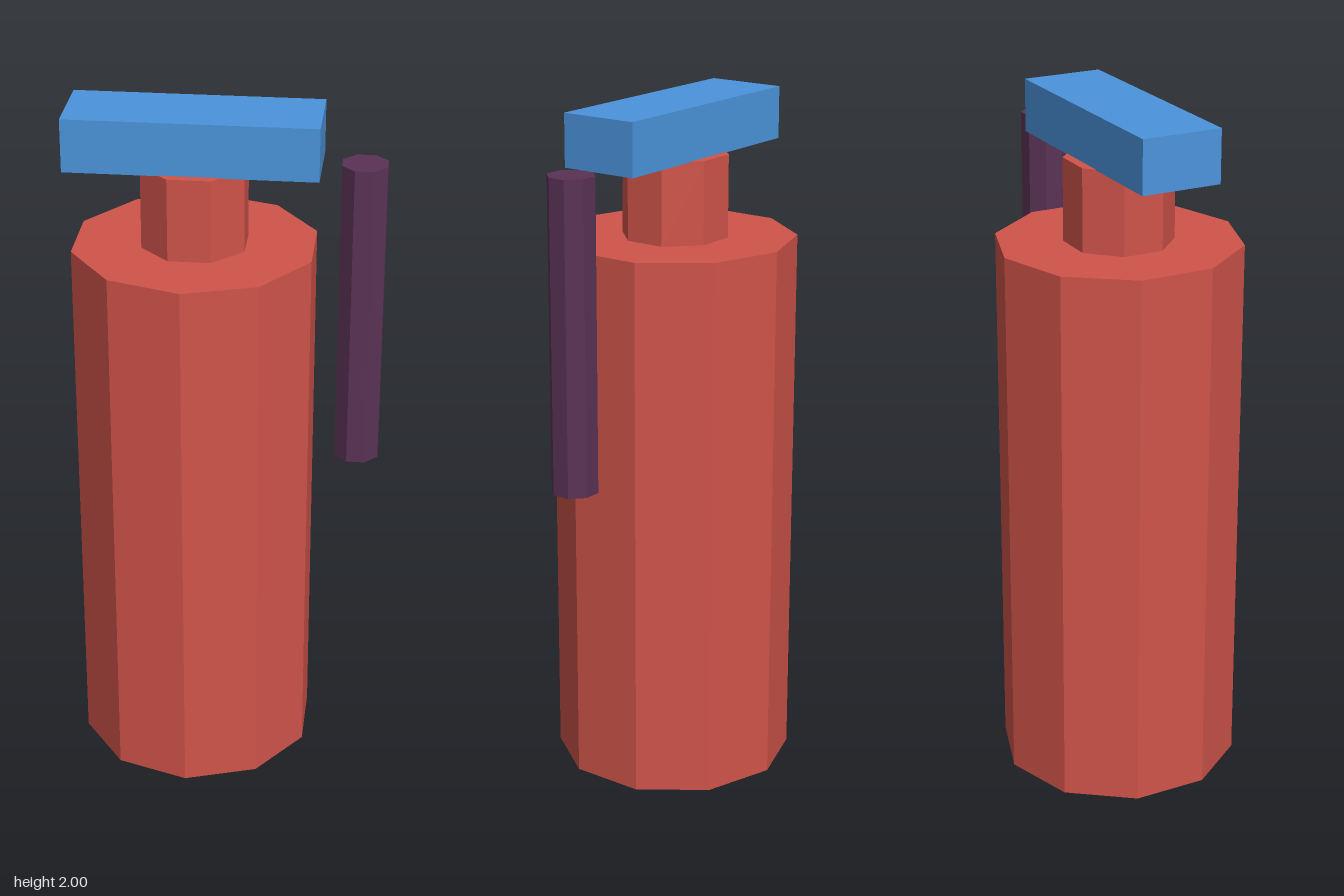
import * as THREE from 'three';

const paint = (color) => new THREE.MeshStandardMaterial({ color, flatShading: true });

export function createModel() {
  const group = new THREE.Group();
  const red = paint(0xd0544a);
  const blue = paint(0x4b94dc);
  const purple = paint(0x5a3255);

  const add = (name, geometry, material, x, y) => {
    const mesh = new THREE.Mesh(geometry, material);
    mesh.name = name;
    mesh.position.set(x, y, 0);
    group.add(mesh);
  };

  // Upright prism with its base at y0; octagons are turned so a flat faces front
  const prism = (name, material, radius, sides, x, y0, y1, turn = 0) => {
    const geometry = new THREE.CylinderGeometry(radius, radius, y1 - y0, sides);
    geometry.rotateY(turn);
    add(name, geometry, material, x, (y0 + y1) / 2);
  };

  const axis = -0.091;
  prism('tank', red, 0.352, 10, axis, 0, 1.61);
  prism('neck', red, 0.156, 8, axis, 1.61, 1.85, Math.PI / 8);
  prism('hose', purple, 0.068, 8, 0.379, 0.963, 1.863, Math.PI / 8);

  // Lever across the top of the neck
  add('handle', new THREE.BoxGeometry(0.704, 0.152, 0.234), blue, axis, 1.924);

  return group;
}
